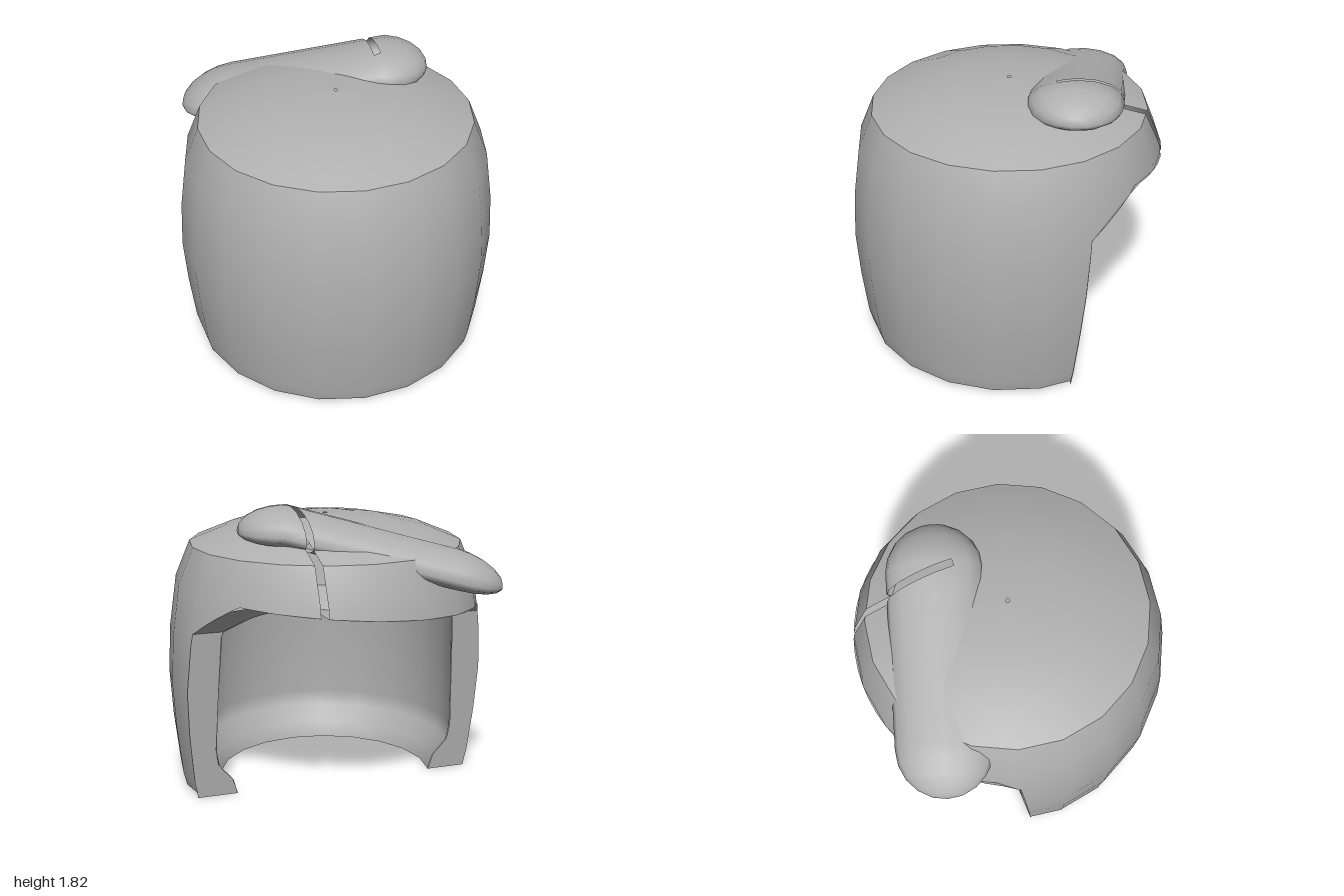
import * as THREE from 'three';
import { mergeVertices } from 'three/addons/utils/BufferGeometryUtils.js';

const ZC = -0.03; // centre of the round body
const SIDES = 20;

// Profiles as [radius, height]
const wall = [[0.925, 0.02], [0.945, 0.1], [0.98, 0.4], [1.0, 0.7], [0.985, 1.0], [0.94, 1.32], [0.85, 1.54]];
const dome = [[0.85, 1.54], [0.62, 1.635], [0.4, 1.68], [0.2, 1.705], [0.012, 1.71]];
const inner = [[0.43, 1.34], [0.62, 1.29], [0.75, 1.2], [0.81, 1.05], [0.82, 0.3], [0.8, 0.2], [0.71, 0.1], [0.68, 0]];

// Half-spaces are given as (normal, constant); negative is inside
const plane = (x, y, z, c) => new THREE.Plane(new THREE.Vector3(x, y, z), c);
const backCut = plane(0, 0.085, 1, 0.23);
const roofCut = plane(-0.08, 1, 0, -1.23);
const cornerCut = plane(0, 1, 0.7, -0.849);
const opening = [backCut, roofCut, cornerCut];
const slot = [plane(1, 0, 0, -0.33), plane(-1, 0, 0, 0.29), plane(0, 0, 1, 0.25), plane(0, -1, 0, 1.0)];
const innerSlot = [...slot, plane(0, 0, -1, -0.64)];

// Splits a polygon into its parts outside and inside a plane
function split(poly, p) {
  const out = [], ins = [];
  const dist = (v) => p.normal.x * v[0] + p.normal.y * v[1] + p.normal.z * v[2] + p.constant;
  poly.forEach((a, i) => {
    const b = poly[(i + 1) % poly.length];
    const da = dist(a), db = dist(b);
    (da < 0 ? ins : out).push(a);
    if ((da < 0) !== (db < 0)) {
      const m = a.map((v, k) => v + (b[k] - v) * da / (da - db));
      out.push(m);
      ins.push(m);
    }
  });
  return [out, ins];
}

// Removes a convex region from a surface, or keeps only that region
function carve(geo, planes, keep = false) {
  const g = geo.index ? geo.toNonIndexed() : geo;
  const P = g.attributes.position, N = g.attributes.normal;
  const pos = [], nor = [];
  const emit = (poly) => {
    for (let i = 1; i + 1 < poly.length; i++) {
      for (const v of [poly[0], poly[i], poly[i + 1]]) {
        pos.push(v[0], v[1], v[2]);
        nor.push(v[3], v[4], v[5]);
      }
    }
  };
  for (let t = 0; t < P.count; t += 3) {
    let poly = [t, t + 1, t + 2].map((i) => [P.getX(i), P.getY(i), P.getZ(i), N.getX(i), N.getY(i), N.getZ(i)]);
    for (const p of planes) {
      const [out, ins] = split(poly, p);
      if (!keep) emit(out);
      poly = ins;
      if (poly.length < 3) break;
    }
    if (keep) emit(poly);
  }
  const r = new THREE.BufferGeometry();
  r.setAttribute('position', new THREE.Float32BufferAttribute(pos, 3));
  r.setAttribute('normal', new THREE.Float32BufferAttribute(nor, 3));
  return r;
}

const lathe = (pts) =>
  new THREE.LatheGeometry(pts.map((p) => new THREE.Vector2(p[0], p[1])), SIDES).translate(0, 0, ZC);

// Radius of a profile at height y
function radiusAt(profile, y) {
  const p = [...profile].sort((a, b) => a[1] - b[1]);
  if (y <= p[0][1]) return p[0][0];
  for (let i = 1; i < p.length; i++) {
    if (y <= p[i][1]) {
      return THREE.MathUtils.mapLinear(y, p[i - 1][1], p[i][1], p[i - 1][0], p[i][0]);
    }
  }
  return p[p.length - 1][0];
}

// Surface from a rule over u, v in 0..1
function sheet(nu, nv, fn) {
  const pos = [], idx = [];
  for (let i = 0; i <= nu; i++) {
    for (let j = 0; j <= nv; j++) {
      pos.push(...fn(i / nu, j / nv));
      if (i < nu && j < nv) {
        const a = i * (nv + 1) + j, b = a + nv + 1;
        idx.push(a, b, a + 1, b, b + 1, a + 1);
      }
    }
  }
  const g = new THREE.BufferGeometry();
  g.setAttribute('position', new THREE.Float32BufferAttribute(pos, 3));
  g.setIndex(idx);
  g.computeVertexNormals();
  return g;
}

// Underside of the arched roof over the opening
const archRim = () => sheet(30, 2, (u, v) => {
  const t = Math.PI * (0.5 + u);
  let x = 0, y = 1.2, z = 0;
  for (let k = 0; k < 10; k++) {
    const r = THREE.MathUtils.lerp(radiusAt(inner, y), radiusAt(wall, y), v);
    x = r * Math.sin(t);
    z = ZC + r * Math.cos(t);
    y = Math.min(1.23 + 0.08 * x, 0.849 - 0.7 * z);
  }
  return [x, y, z];
});

// Cut end of the wall beside the opening
const wallEnd = (side) => sheet(26, 1, (u, v) => {
  const y = 1.34 * u, z = -0.23 - 0.085 * y;
  const r = radiusAt((side > 0) === (v > 0.5) ? wall : inner, y);
  return [side * Math.sqrt(r * r - (z - ZC) ** 2), y, z];
});

// Flattened capsule that slopes down toward one end
function podGeometry() {
  const len = 1.01;
  let g = new THREE.CapsuleGeometry(0.29, len, 5, 16, 6).rotateZ(-Math.PI / 2);
  const p = g.attributes.position;
  for (let i = 0; i < p.count; i++) {
    const y = p.getY(i) * (p.getY(i) > 0 ? 0.52 : 0.3);
    p.setY(i, y - 0.26 * Math.max(0, len / 2 - p.getX(i)));
  }
  g.deleteAttribute('normal');
  g.deleteAttribute('uv');
  g = mergeVertices(g);
  g.computeVertexNormals();
  return g.rotateY(-0.32).translate(-0.12, 1.67, -0.51);
}

export function createModel() {
  const grey = new THREE.MeshStandardMaterial({ color: 0xb0b0b0, side: THREE.DoubleSide });
  grey.name = 'grey';
  const model = new THREE.Group();
  const add = (name, geo) => {
    const m = new THREE.Mesh(geo, grey);
    m.name = name;
    model.add(m);
  };
  const open = (pts, cut) => carve(carve(lathe(pts), opening), cut);

  // Outer shell
  add('outerWall', open(wall, slot));
  add('domeTop', open(dome, slot));
  add('bottomBevel', open([[0.88, 0], [0.925, 0.02]], slot));
  add('bottomRing', open([[0.68, 0], [0.88, 0]], slot));

  // Hollow interior with a round recess in its ceiling
  add('innerWall', open(inner, innerSlot));
  add('recessWall', open([[0.39, 1.58], [0.43, 1.34]], innerSlot));
  add('recessCeiling', open([[0, 1.6], [0.39, 1.58]], innerSlot));

  // Thickness of the shell around the back opening
  add('archRim', carve(carve(archRim(), [backCut], true), slot));
  add('leftWallEnd', carve(wallEnd(1), [roofCut, cornerCut], true));
  add('rightWallEnd', carve(wallEnd(-1), [roofCut, cornerCut], true));

  // Slanted pod on the roof, split by the slot
  add('roofPod', carve(podGeometry(), slot));
  return model;
}
